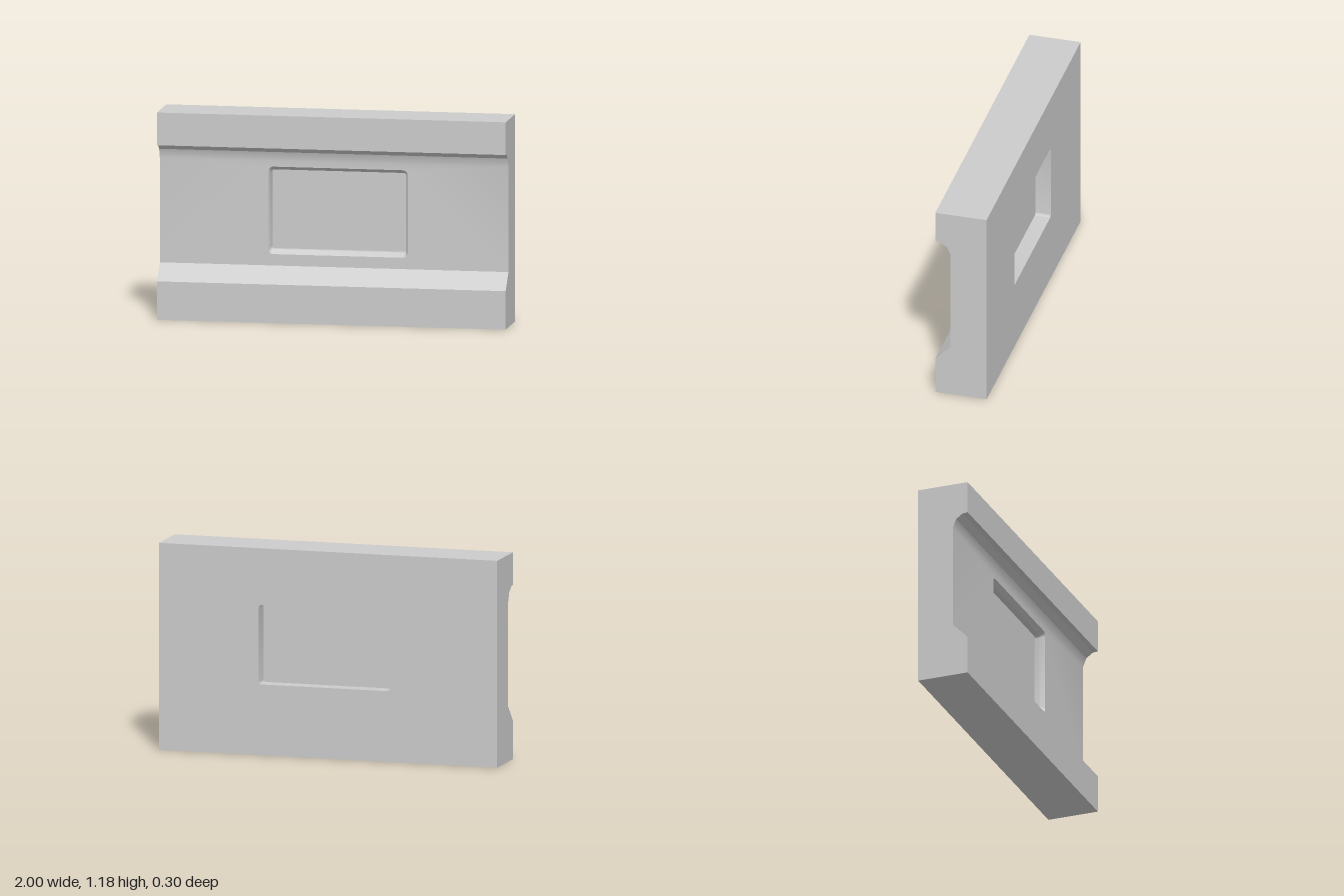
import * as THREE from 'three';
import { mergeGeometries, toCreasedNormals } from 'three/addons/utils/BufferGeometryUtils.js';

const HEIGHT = 1.185, BACK = -0.15, FRONT = 0.15, RECESS = 0.06;
const PANEL_FRONT = 0, PANEL_BACK = -0.06;
const V = (x, y) => new THREE.Vector2(x, y);

// Wall section as [z, y]: lower ledge, then upper ledge with its cove
const lower = [[RECESS, 0.315], [FRONT, 0.22], [FRONT, 0], [BACK, 0]];
const upper = [[BACK, HEIGHT], [FRONT, HEIGHT], [FRONT, 0.998], [0.12, 0.995], [0.08, 0.967], [RECESS, 0.915]];

// Counter-clockwise rounded rectangle
function roundedRect(x0, x1, y0, y1, r, steps = 5) {
  const corners = [[x0 + r, y0 + r], [x1 - r, y0 + r], [x1 - r, y1 - r], [x0 + r, y1 - r]];
  return corners.flatMap(([cx, cy], c) => Array.from({ length: steps + 1 }, (_, i) => {
    const a = Math.PI + (c + i / steps) * Math.PI / 2;
    return V(cx + r * Math.cos(a), cy + r * Math.sin(a));
  }));
}
const outerRing = roundedRect(-0.375, 0.42, 0.38, 0.88, 0.025);
const innerRing = roundedRect(-0.365, 0.41, 0.405, 0.86, 0.015);

// Surface between two rows of 3D points
function strip(a, b, closed) {
  const pos = [], n = a.length;
  for (let i = 0; i < (closed ? n : n - 1); i++) {
    const j = (i + 1) % n;
    for (const p of [a[i], a[j], b[j], a[i], b[j], b[i]]) pos.push(...p);
  }
  const g = new THREE.BufferGeometry();
  g.setAttribute('position', new THREE.Float32BufferAttribute(pos, 3));
  g.computeVertexNormals();
  return g;
}
const sweep = (profile) => strip(
  profile.map(([z, y]) => [-1, y, z]), profile.map(([z, y]) => [1, y, z]), false);
const reveal = (ringA, zA, ringB, zB) => strip(
  ringA.map((p) => [p.x, p.y, zA]), ringB.map((p) => [p.x, p.y, zB]), true);

// Flat face, turned about y and moved into place
function face(points, hole, turn, x, z) {
  const shape = new THREE.Shape(points);
  if (hole) shape.holes.push(new THREE.Path(hole));
  const g = new THREE.ShapeGeometry(shape).toNonIndexed();
  g.deleteAttribute('uv');
  return g.rotateY(turn).translate(x, 0, z);
}
const mirror = (points) => points.map((p) => V(-p.x, p.y)).reverse();
const rect = (y0, y1) => [V(-1, y0), V(1, y0), V(1, y1), V(-1, y1)];

export function createModel() {
  const group = new THREE.Group();
  const material = new THREE.MeshStandardMaterial({ color: 0xcccccc });
  const add = (name, parts) => {
    const mesh = new THREE.Mesh(toCreasedNormals(mergeGeometries(parts), 0.4), material);
    mesh.name = name;
    group.add(mesh);
  };
  const section = [...lower, ...upper].map(([z, y]) => V(z, y));

  // Wall slab with ledges, cove and a pierced face on each side
  add('wall', [
    sweep(lower),
    sweep(upper),
    face(section, null, -Math.PI / 2, -1, 0),
    face(mirror(section), null, Math.PI / 2, 1, 0),
    face(rect(0.315, 0.915), outerRing, 0, 0, RECESS),
    face(rect(0, HEIGHT), mirror(innerRing), Math.PI, 0, BACK),
  ]);

  // Opening: bevelled front lip, then straight sides
  add('windowReveal', [
    reveal(outerRing, RECESS, innerRing, 0.03),
    reveal(innerRing, 0.03, innerRing, PANEL_FRONT),
    reveal(innerRing, PANEL_BACK, innerRing, BACK),
  ]);

  // Pane set inside the opening
  add('windowPane', [
    face(innerRing, null, 0, 0, PANEL_FRONT),
    face(mirror(innerRing), null, Math.PI, 0, PANEL_BACK),
  ]);
  return group;
}
